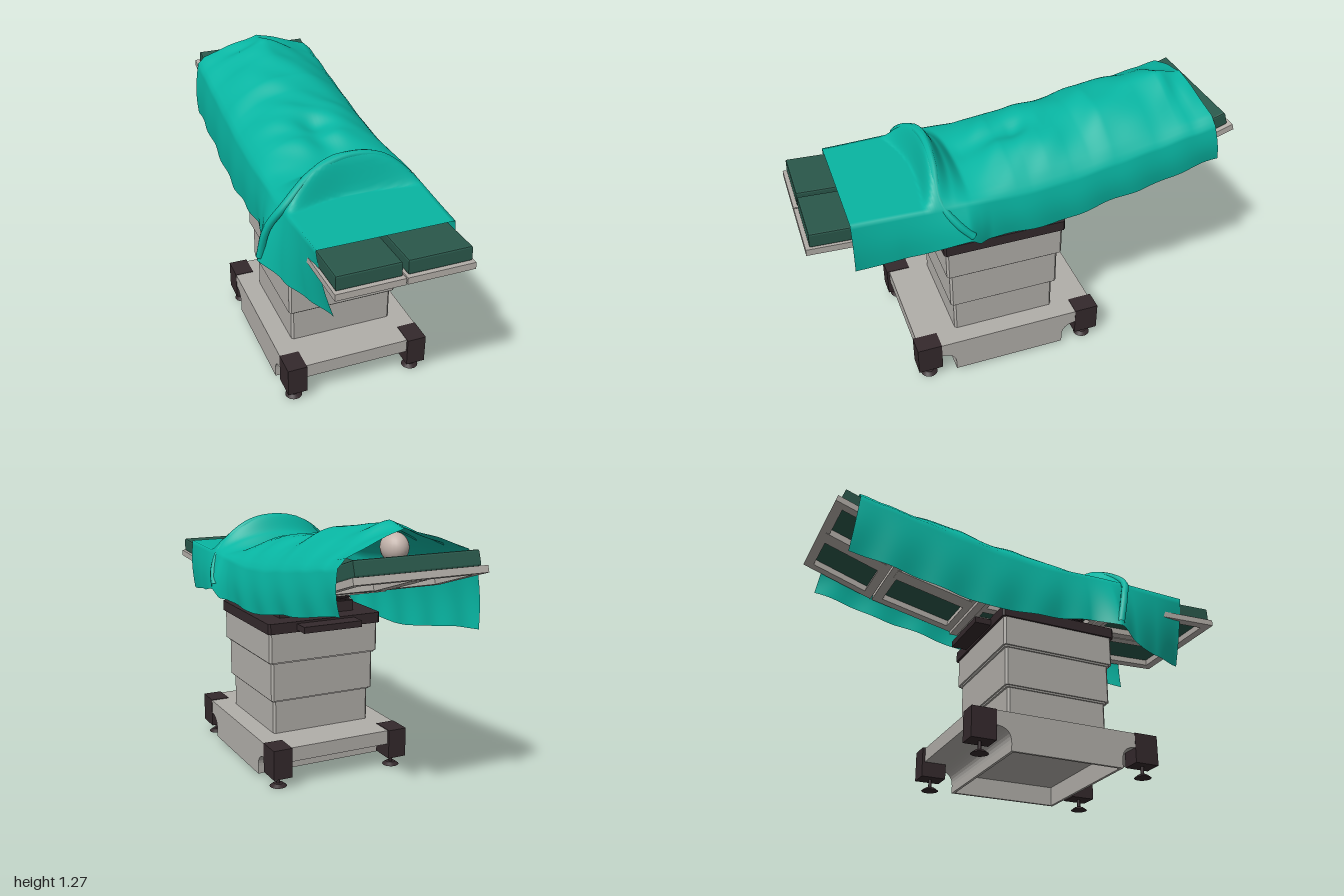
import * as THREE from 'three';

const CX = 0.015; // pedestal centre line
const CZ = 0.11;
const mat = (name, color, side = THREE.FrontSide) => {
  const m = new THREE.MeshStandardMaterial({ color, side });
  m.name = name;
  return m;
};

// Smooth interpolation through [z, value] pairs with descending z
function at(table, z) {
  if (z >= table[0][0]) return table[0][1];
  for (let i = 1; i < table.length; i++) {
    const [za, a] = table[i - 1], [zb, b] = table[i];
    if (z >= zb) {
      const t = (za - z) / (za - zb);
      return a + (b - a) * (0.5 * t + 0.5 * t * t * (3 - 2 * t));
    }
  }
  return table[table.length - 1][1];
}

// Upright block with chamfered vertical corners
function chamferBlock(w, d, h, c) {
  const x = w / 2, z = d / 2;
  const s = new THREE.Shape([[x, z - c], [x - c, z], [c - x, z], [-x, z - c], [-x, c - z], [c - x, -z], [x - c, -z], [x, c - z]]
    .map(([a, b]) => new THREE.Vector2(a, b)));
  return new THREE.ExtrudeGeometry(s, { depth: h, bevelEnabled: false }).rotateX(-Math.PI / 2);
}

// Base side profile, optionally hollowed from below, extruded along x
function baseSlice(w, hollow) {
  const s = new THREE.Shape();
  s.moveTo(0.45, 0.193);
  s.lineTo(-0.45, 0.193);
  s.lineTo(-0.45, 0.125);
  s.lineTo(-0.345, 0.125);
  s.quadraticCurveTo(-0.275, 0.12, -0.275, 0.055);
  s.lineTo(-0.275, 0.017);
  if (hollow) {
    s.lineTo(-0.262, 0.017);
    s.lineTo(-0.262, 0.11);
    s.lineTo(0.262, 0.11);
    s.lineTo(0.262, 0.017);
  }
  s.lineTo(0.275, 0.017);
  s.lineTo(0.275, 0.055);
  s.quadraticCurveTo(0.275, 0.12, 0.345, 0.125);
  s.lineTo(0.45, 0.125);
  return new THREE.ExtrudeGeometry(s, { depth: w, bevelEnabled: false, curveSegments: 8 })
    .rotateY(-Math.PI / 2).translate(w / 2, 0, 0);
}

// Flat frame with a row of openings
function frameGeometry(w, d, h, cols, rim) {
  const rect = (P, x0, y0, x1, y1) => {
    const p = new P();
    p.moveTo(x0, y0); p.lineTo(x1, y0); p.lineTo(x1, y1); p.lineTo(x0, y1); p.closePath();
    return p;
  };
  const s = rect(THREE.Shape, -w / 2, -d / 2, w / 2, d / 2);
  const cw = (w - rim) / cols;
  for (let i = 0; i < cols; i++) {
    const x = -w / 2 + rim + i * cw;
    s.holes.push(rect(THREE.Path, x, rim - d / 2, x + cw - rim, d / 2 - rim));
  }
  return new THREE.ExtrudeGeometry(s, { depth: h, bevelEnabled: false }).rotateX(-Math.PI / 2);
}

// Bevelled cushion standing on y = 0
function cushionGeometry(w, d, h) {
  const b = 0.008, s = new THREE.Shape();
  const x = w / 2 - b, z = d / 2 - b;
  s.moveTo(-x, -z); s.lineTo(x, -z); s.lineTo(x, z); s.lineTo(-x, z);
  return new THREE.ExtrudeGeometry(s, { depth: h - 2 * b, bevelSize: b, bevelThickness: b, bevelSegments: 2 })
    .translate(0, 0, b).rotateX(-Math.PI / 2);
}

// Table edge height, centre height above it, roundness, edges and hems along z
const EDGE = [[0.0, 0.992], [-0.2, 1.01], [-0.4, 1.042], [-0.6, 1.075], [-0.8, 1.115], [-0.93, 1.14]];
const CROWN = [[0.455, 0], [0.41, 0.165], [0.385, 0.175], [0.33, 0.09], [0.27, 0.035], [0.07, 0.118],
  [-0.1, 0.14], [-0.29, 0.135], [-0.39, 0.16], [-0.6, 0.16], [-0.74, 0.157], [-0.93, 0.113]];
const ROUND = [[0.4, 2.3], [0, 2.6], [-0.4, 2.3], [-0.65, 1.5], [-0.85, 0.98]];
const LEFT_X = [[0.8, -0.29], [0.4, -0.305], [-0.93, -0.3]];
const RIGHT_X = [[0.8, 0.322], [0.3, 0.342], [-0.93, 0.33]];
const HEM_LX = [[0.8, -0.21], [0.65, -0.27], [0.5, -0.33], [0.38, -0.4], [0.25, -0.33], [0.1, -0.31], [-0.93, -0.305]];
const HEM_LY = [[0.8, 0.645], [0.55, 0.65], [0.38, 0.7], [0.25, 0.73], [0, 0.71], [-0.25, 0.7], [-0.93, 0.82]];
const HEM_RX = [[0.8, 0.315], [0.6, 0.345], [0.3, 0.4], [0.2, 0.355], [-0.93, 0.335]];
const HEM_RY = [[0.8, 0.735], [0.55, 0.775], [0.3, 0.825], [0.25, 0.785], [-0.1, 0.78], [-0.5, 0.85], [-0.93, 0.935]];

// One point of the sheet: u runs across it, z along it
function sheetPoint(u, z) {
  const t = THREE.MathUtils.clamp((u - 0.5) / 0.3, -1, 1), a = Math.abs(t);
  const xl = at(LEFT_X, z), xr = at(RIGHT_X, z), edge = at(EDGE, z);
  const { smoothstep } = THREE.MathUtils;
  const loose = smoothstep(0.35 - z, 0, 0.3);
  const end = smoothstep(-z, 0.65, 0.93);
  const droop = (0.008 + 0.014 * end) * loose;
  if (a < 1) {
    const zs = z - (t < 0 ? 0.08 : 0.04) * t * t * smoothstep(z, 0.2, 0.4);
    const legs = smoothstep(0.3 - z, 0, 0.08) * smoothstep(z + 0.15, 0, 0.15);
    let y = at(CROWN, zs) * (1 - a ** at(ROUND, z)) - droop * smoothstep(a, 0.88, 1);
    y *= 1 - 0.3 * legs * Math.exp(-((t / 0.22) ** 2));
    y += loose * (1 - t * t) * (0.004 * Math.sin(15 * z + 5 * t) + 0.003 * Math.sin(31 * z - 9 * t + 2 * Math.sin(6 * z)));
    return [(xl + xr) / 2 + t * (xr - xl) / 2, edge + y, z + end * (0.035 + 0.033 * (1 - a))];
  }
  const left = t < 0, k = left ? 1 - u / 0.2 : (u - 0.8) / 0.2;
  const sgn = left ? -1 : 1, x0 = left ? xl : xr, y0 = edge - droop;
  const x1 = at(left ? HEM_LX : HEM_RX, z), y1 = at(left ? HEM_LY : HEM_RY, z);
  const ripple = 0.005 * Math.sin(26 * z + 2 * k) * loose * k;
  return [x0 + (x1 - x0) * k + sgn * (0.01 * Math.sin(Math.PI * k) + ripple), y0 + (y1 - y0) * k, z + end * 0.035 * (1 - k)];
}

export function createModel() {
  const root = new THREE.Group();
  root.name = 'drapedOperatingTable';
  const grey = mat('painted grey', 0xb1aea9);
  const dark = mat('dark plastic', 0x34292c);
  const green = mat('cushion green', 0x2a584b);
  const steel = mat('frame steel', 0xb3aea8);
  const teal = mat('teal cloth', 0x08b5a2, THREE.DoubleSide);
  const skin = mat('pale skin', 0xc4b4ac);
  const add = (name, geo, m, x = 0, y = 0, z = 0, parent = root) => {
    const mesh = new THREE.Mesh(geo, m);
    mesh.name = name;
    mesh.position.set(x, y, z);
    parent.add(mesh);
    return mesh;
  };
  const box = (w, h, d) => new THREE.BoxGeometry(w, h, d);

  // Base, hollow underneath, with four corner blocks on levelling feet
  add('baseBody', baseSlice(0.666, true), grey, CX, 0, CZ);
  for (const s of [-1, 1]) {
    add('baseSide', baseSlice(0.013, false), grey, CX + s * 0.3395, 0, CZ);
    for (const e of [-1, 1]) {
      const x = CX + s * 0.301, z = CZ + e * 0.404;
      add('cornerBlock', box(0.093, 0.142, 0.118), dark, x, 0.125, z);
      add('footRod', new THREE.CylinderGeometry(0.008, 0.008, 0.05, 12), dark, x, 0.035, z);
      add('footPad', new THREE.CylinderGeometry(0.022, 0.04, 0.014, 24), dark, x, 0.007, z);
    }
  }

  // Telescoping column: [width, depth, bottom, top]
  for (const [w, d, y0, y1] of [[0.504, 0.5, 0.19, 0.36], [0.535, 0.534, 0.36, 0.55], [0.566, 0.566, 0.55, 0.69]]) {
    add('columnSection', chamferBlock(w, d, y1 - y0, 0.01), grey, CX, y0, CZ);
    if (y0 > 0.2) add('columnLip', chamferBlock(w - 0.016, d - 0.016, 0.008, 0.01), grey, CX, y0 - 0.008, CZ);
  }
  add('columnCap', chamferBlock(0.584, 0.587, 0.05, 0.01), dark, CX, 0.69, CZ);
  add('capConnector', box(0.3, 0.03, 0.09), dark, CX, 0.715, -0.217);
  add('topBlock', box(0.39, 0.052, 0.4), dark, CX, 0.765, CZ);
  for (let i = 0; i < 8; i++) {
    const r = i % 2 ? 0.345 : 0.37;
    add('bellowsFold', box(r, 0.006, r + 0.01), dark, CX, 0.793 + i * 0.0055, CZ);
  }
  add('mountPlate', box(0.39, 0.016, 0.4), dark, CX, 0.84, CZ);

  // Table top panels, each between a front and a back point on the frame top
  const panel = (name, [zf, yf], [zb, yb], x, w, cols, cushionWidth) => {
    const g = new THREE.Group();
    g.name = name;
    g.position.set(x, (yf + yb) / 2, (zf + zb) / 2);
    g.rotation.x = -Math.atan2(yf - yb, zf - zb);
    const d = Math.hypot(zf - zb, yf - yb);
    add('frame', frameGeometry(w, d - 0.004, 0.03, cols, 0.045), steel, 0, -0.03, 0, g);
    if (cols === 2) add('centreBar', box(0.08, 0.032, d - 0.06), steel, 0, -0.0165, 0, g);
    add('cushion', cushionGeometry(cushionWidth, d - 0.04, 0.068), green, 0, 0, 0, g);
    root.add(g);
  };
  for (const s of [-1, 1]) panel('legPanel', [1, 0.912], [0.42, 0.885], CX + s * 0.153, 0.3, 1, 0.28);
  panel('seatPanel', [0.42, 0.885], [-0.2, 0.885], CX - 0.004, 0.63, 4, 0.57);
  panel('backPanel', [-0.2, 0.89], [-0.64, 0.985], CX, 0.61, 2, 0.57);
  panel('headPanel', [-0.64, 0.985], [-0.995, 1.1], CX, 0.61, 2, 0.57);
  for (const s of [-1, 1]) add('seatRail', box(0.05, 0.012, 0.56), dark, CX + s * 0.26, 0.854, CZ);
  add('hingeBar', box(0.6, 0.03, 0.04), steel, CX, 0.862, -0.2);
  add('hingeBar', box(0.6, 0.03, 0.04), steel, CX, 0.862, 0.42);

  // Covered head and feet
  add('head', new THREE.SphereGeometry(0.062, 24, 16).scale(0.9, 1, 1.1), skin, 0.02, 1.163, -0.79);
  for (const x of [-0.02, 0.08]) add('foot', new THREE.SphereGeometry(0.06, 20, 12).scale(0.6, 1, 0.5), skin, x, 1.03, 0.37);

  // Draped sheet
  const cloth = new THREE.PlaneGeometry(1, 1, 60, 200);
  const pos = cloth.attributes.position;
  for (let i = 0; i < pos.count; i++) {
    const u = pos.getX(i) + 0.5, v = 0.5 - pos.getY(i);
    pos.setXYZ(i, ...sheetPoint(u, -0.93 + v * 1.735));
  }
  cloth.computeVertexNormals();
  add('drapedSheet', cloth, teal);

  // Turned-back fold across the feet
  const crest = new THREE.CatmullRomCurve3([[-0.388, 0.72, 0.38], [-0.365, 0.88, 0.42], [-0.3, 1.0, 0.46], [-0.15, 1.11, 0.415],
    [0.02, 1.15, 0.395], [0.17, 1.12, 0.4], [0.31, 1.0, 0.41], [0.37, 0.91, 0.35], [0.39, 0.845, 0.29]]
    .map((p) => new THREE.Vector3(...p)));
  add('sheetFold', new THREE.TubeGeometry(crest, 60, 0.018, 8), teal);
  return root;
}
